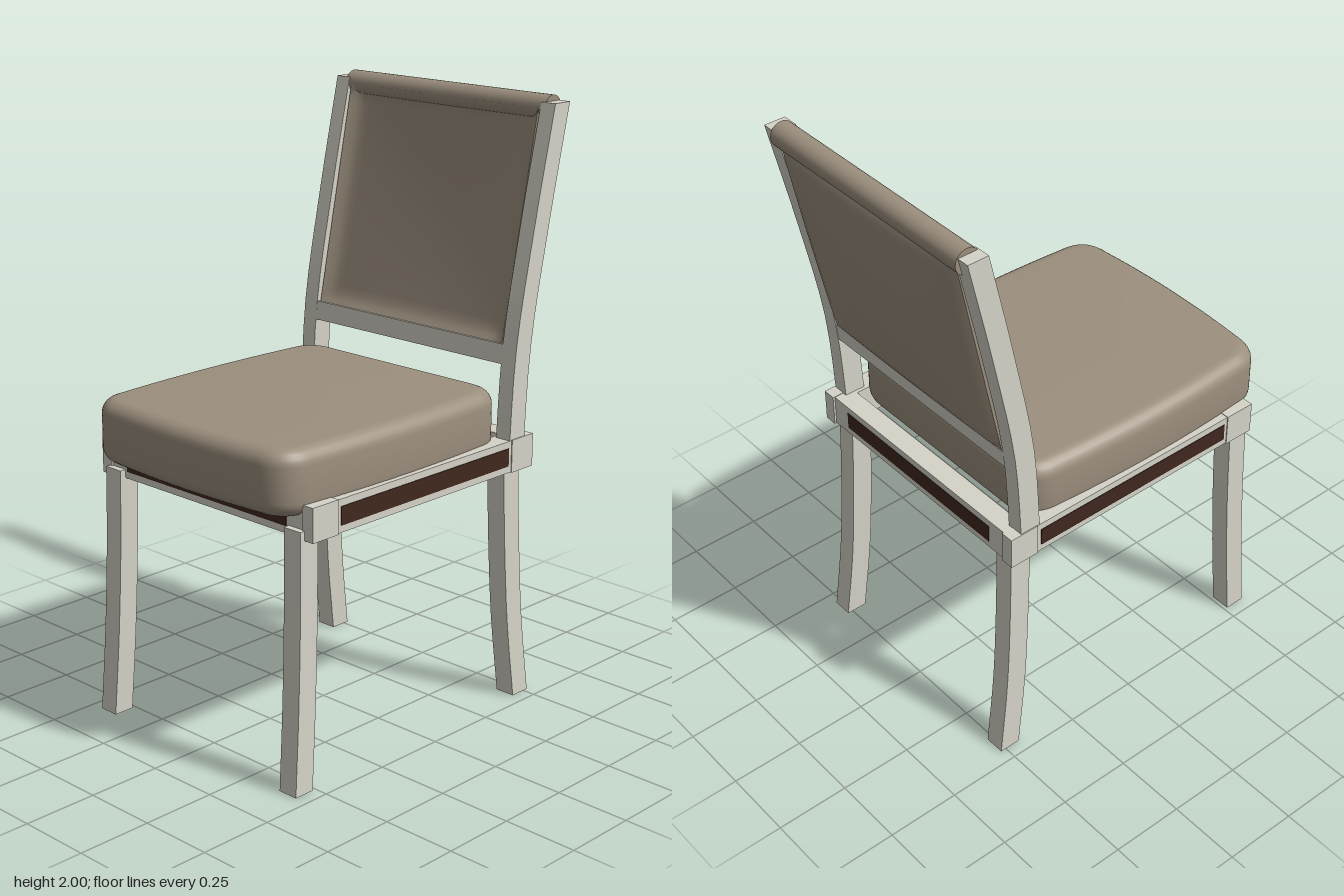
import * as THREE from 'three';
import { mergeVertices, toCreasedNormals } from 'three/addons/utils/BufferGeometryUtils.js';

const cream = new THREE.MeshStandardMaterial({ color: 0xd6d4c8 });
cream.name = 'cream paint';
const fabric = new THREE.MeshStandardMaterial({ color: 0x9c8f7e });
fabric.name = 'taupe fabric';
const brown = new THREE.MeshStandardMaterial({ color: 0x40281e });
brown.name = 'dark brown inlay';

function add(parent, name, geometry, material, x = 0, y = 0, z = 0) {
  const mesh = new THREE.Mesh(geometry, material);
  mesh.name = name;
  mesh.position.set(x, y, z);
  parent.add(mesh);
  return mesh;
}

// Smooth normals across gentle angles, sharp edges elsewhere
function crease(geometry, angle) {
  geometry.deleteAttribute('normal');
  geometry.deleteAttribute('uv');
  return toCreasedNormals(mergeVertices(geometry, 1e-4), angle);
}

// Square post whose horizontal sections follow a curve through [x, y, z] points
function post(points, width, depth) {
  const curve = new THREE.CatmullRomCurve3(points.map(p => new THREE.Vector3(...p)));
  const geometry = new THREE.BoxGeometry(width, 1, depth, 1, 12, 1);
  const pos = geometry.attributes.position;
  for (let i = 0; i < pos.count; i++) {
    const c = curve.getPoint(pos.getY(i) + 0.5);
    pos.setXYZ(i, pos.getX(i) + c.x, c.y, pos.getZ(i) + c.z);
  }
  return crease(geometry, 0.6);
}

// Seat outline: rounded corners, gently bowed sides and front
function seatCushion() {
  const bevel = 0.05, r = 0.07;
  const x = 0.44 - bevel, back = -0.385 + bevel, front = 0.615 - bevel;
  const s = new THREE.Shape();
  s.moveTo(-x + r, -front);
  s.quadraticCurveTo(0, -front - 0.03, x - r, -front);
  s.quadraticCurveTo(x, -front, x, -front + r);
  s.quadraticCurveTo(x + 0.03, (-front - back) / 2, x, -back - r);
  s.quadraticCurveTo(x, -back, x - r, -back);
  s.lineTo(-x + r, -back);
  s.quadraticCurveTo(-x, -back, -x, -back - r);
  s.quadraticCurveTo(-x - 0.03, (-front - back) / 2, -x, -front + r);
  s.quadraticCurveTo(-x, -front, -x + r, -front);
  const geometry = new THREE.ExtrudeGeometry(s, {
    depth: 0.11, bevelThickness: bevel, bevelSize: bevel, bevelSegments: 6, curveSegments: 12,
  });
  geometry.rotateX(-Math.PI / 2);
  geometry.translate(0, 0.877 + bevel, 0);
  return crease(geometry, 0.7);
}

// Back pad: recessed front with a rounded rim, back swelling outwards
function backPad() {
  const geometry = new THREE.BoxGeometry(2, 2, 2, 32, 32, 1);
  const pos = geometry.attributes.position;
  for (let i = 0; i < pos.count; i++) {
    const u = pos.getX(i), v = pos.getY(i), isFront = pos.getZ(i) > 0;
    const t = (v + 1) / 2;
    const edge = Math.min((1 - Math.abs(u)) * 0.405, (1 - Math.abs(v)) * 0.37);
    const rim = Math.sin(Math.min(edge / 0.045, 1) * Math.PI / 2);
    const dome = (1 - u * u) * (1 - v * v);
    const z = isFront
      ? -0.398 - 0.152 * t - 0.022 * rim - 0.015 * dome
      : -0.462 - 0.155 * t - 0.02 * rim - 0.03 * dome;
    pos.setXYZ(i, u * 0.405, 1.215 + 0.745 * t, z);
  }
  return crease(geometry, 0.8);
}

export function createModel() {
  const chair = new THREE.Group();
  chair.name = 'chair';

  // Legs and back uprights, mirrored left and right
  for (const [side, s] of [['left', 1], ['right', -1]]) {
    add(chair, side + 'FrontLeg', post([
      [s * 0.42, 0, 0.549], [s * 0.414, 0.28, 0.529], [s * 0.409, 0.56, 0.516], [s * 0.405, 0.84, 0.51],
    ], 0.07, 0.072), cream);
    add(chair, side + 'BackLeg', post([
      [s * 0.42, 0, -0.482], [s * 0.414, 0.28, -0.448], [s * 0.409, 0.56, -0.43], [s * 0.405, 0.84, -0.42],
    ], 0.07, 0.074), cream);
    add(chair, side + 'Upright', post([
      [s * 0.443, 0.83, -0.403], [s * 0.443, 1.22, -0.429], [s * 0.443, 1.6, -0.502], [s * 0.443, 1.98, -0.588],
    ], 0.057, 0.073), cream);

    // Side rail with inlay, and corner blocks
    add(chair, side + 'Rail', new THREE.BoxGeometry(0.07, 0.106, 0.96), cream, s * 0.437, 0.865, 0.02);
    add(chair, side + 'Inlay', new THREE.BoxGeometry(0.006, 0.06, 0.775), brown, s * 0.4715, 0.865, 0.022);
    add(chair, side + 'FrontBlock', new THREE.BoxGeometry(0.045, 0.11, 0.108), cream, s * 0.4525, 0.865, 0.476);
    add(chair, side + 'BackBlock', new THREE.BoxGeometry(0.045, 0.11, 0.105), cream, s * 0.4525, 0.865, -0.4325);
  }

  // Front and back rails with inlays
  for (const [end, s, z] of [['front', 1, 0.49], ['back', -1, -0.443]]) {
    add(chair, end + 'Rail', new THREE.BoxGeometry(0.87, 0.106, 0.07), cream, 0, 0.865, z);
    add(chair, end + 'Inlay', new THREE.BoxGeometry(0.72, 0.06, 0.006), brown, 0, 0.865, z + s * 0.034);
  }

  // Upholstery
  add(chair, 'seatCushion', seatCushion(), fabric);
  add(chair, 'backPad', backPad(), fabric);

  // Lower crossbar of the backrest, leaning with the uprights
  add(chair, 'backCrossbar', new THREE.BoxGeometry(0.85, 0.064, 0.07), cream, 0, 1.188, -0.425).rotation.x = -0.13;

  // Rolled top edge of the backrest
  const roll = new THREE.CylinderGeometry(0.042, 0.042, 0.86, 24);
  roll.rotateZ(Math.PI / 2);
  add(chair, 'topRoll', roll, fabric, 0, 1.958, -0.592);

  return chair;
}
